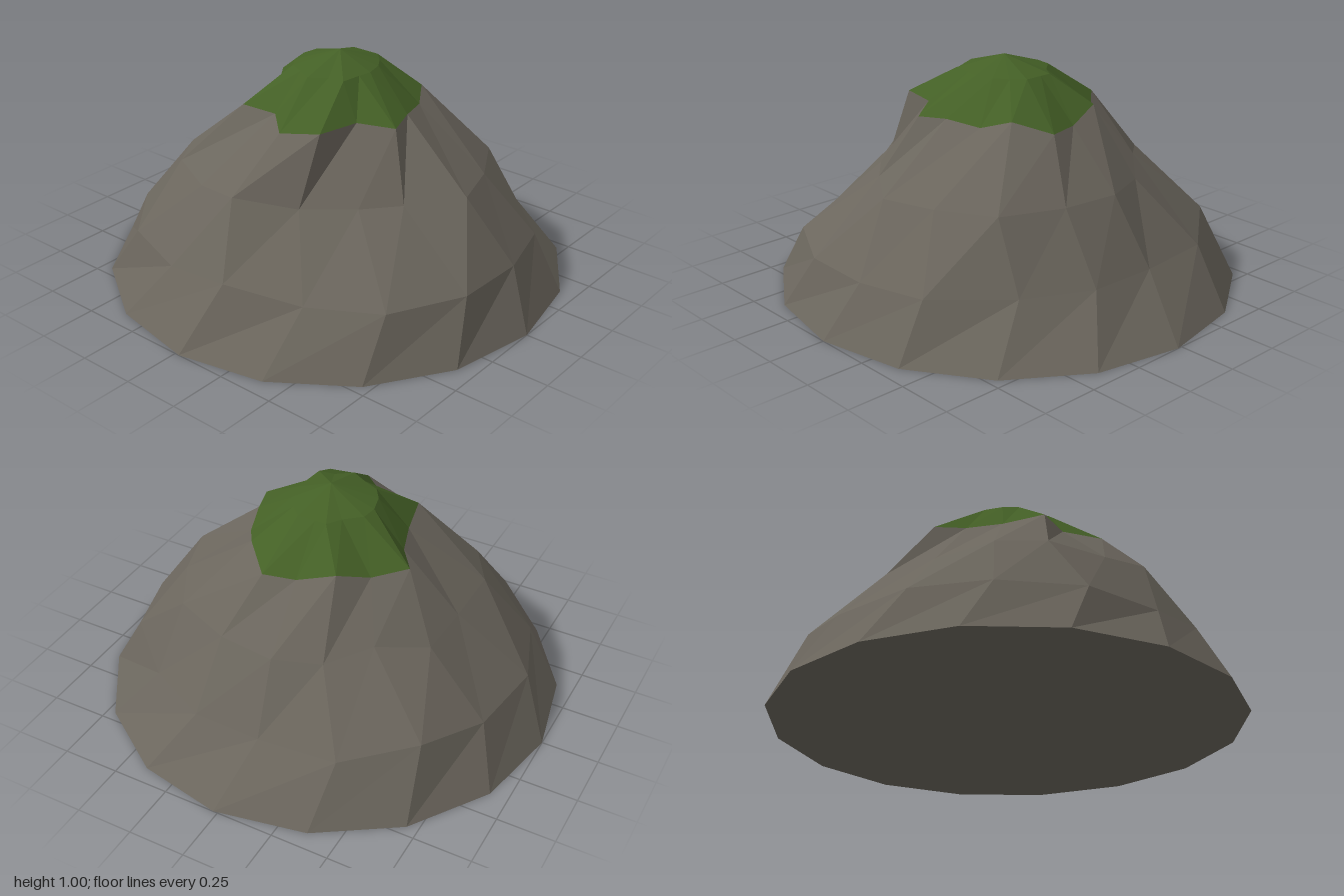
import * as THREE from 'three';

const SIDES = 16;

// Cross-sections from the foot upward: x,z pairs, running from +x towards +z.
const foot = [];
for (let k = 0; k < SIDES; k++) {
  const a = (k / SIDES) * Math.PI * 2;
  foot.push(Math.cos(a), Math.sin(a) + 0.02 * (1 - Math.abs(Math.sin(a))));
}
const lower = [0.77, -0.06, 0.76, 0.24, 0.62, 0.52, 0.37, 0.79, 0.08, 0.87, -0.24, 0.86, -0.55, 0.7, -0.71, 0.42,
  -0.83, 0.11, -0.81, -0.2, -0.69, -0.53, -0.42, -0.76, -0.11, -0.87, 0.25, -0.82, 0.53, -0.67, 0.74, -0.4];
const middle = [0.6, -0.03, 0.57, 0.22, 0.46, 0.48, 0.23, 0.61, 0, 0.68, -0.22, 0.53, -0.36, 0.41, -0.51, 0.23,
  -0.66, 0.01, -0.6, -0.22, -0.48, -0.46, -0.3, -0.57, -0.02, -0.57, 0.23, -0.56, 0.38, -0.38, 0.53, -0.23];
const capEdge = [0.37, -0.02, 0.4, 0.12, 0.28, 0.24, 0.17, 0.31, 0.02, 0.36, -0.11, 0.4, -0.2, 0.27, -0.38, 0.23,
  -0.44, 0.07, -0.32, -0.06, -0.33, -0.23, -0.15, -0.27, 0, -0.32, 0.11, -0.4, 0.22, -0.28, 0.33, -0.18];
const crown = [0.19, -0.01, 0.19, 0.07, 0.14, 0.12, 0.08, 0.16, 0, 0.18, -0.06, 0.17, -0.15, 0.16, -0.16, 0.09,
  -0.21, 0.02, -0.17, -0.05, -0.14, -0.12, -0.08, -0.16, 0, -0.18, 0.07, -0.17, 0.13, -0.1, 0.19, -0.06];
const capHeights = [0.76, 0.76, 0.81, 0.775, 0.79, 0.78, 0.8, 0.8, 0.78, 0.79, 0.79, 0.78, 0.78, 0.78, 0.765, 0.81];

// Turns x,z pairs into a ring of points; height is a number or a rule per corner
function ring(pairs, height) {
  return Array.from({ length: SIDES }, (_, k) =>
    [pairs[2 * k], typeof height === 'number' ? height : height(k), pairs[2 * k + 1]]);
}

function addBand(out, low, high) {
  for (let k = 0; k < SIDES; k++) {
    const n = (k + 1) % SIDES;
    out.push(...low[k], ...high[k], ...low[n], ...low[n], ...high[k], ...high[n]);
  }
}

function addFan(out, edge, tip, up) {
  for (let k = 0; k < SIDES; k++) {
    const n = (k + 1) % SIDES;
    out.push(...tip, ...(up ? edge[n] : edge[k]), ...(up ? edge[k] : edge[n]));
  }
}

function facetedMesh(name, positions, material) {
  const geometry = new THREE.BufferGeometry();
  geometry.setAttribute('position', new THREE.Float32BufferAttribute(positions, 3));
  geometry.computeVertexNormals();
  const mesh = new THREE.Mesh(geometry, material);
  mesh.name = name;
  return mesh;
}

export function createModel() {
  const rock = new THREE.MeshStandardMaterial({ color: 0x6b665d });
  rock.name = 'rock grey';
  rock.flatShading = true;
  const grass = new THREE.MeshStandardMaterial({ color: 0x446026 });
  grass.name = 'grass green';
  grass.flatShading = true;

  const footRing = ring(foot, 0);
  const lowerRing = ring(lower, (k) => 0.24 + (k === 8 || k === 14 ? 0.04 : 0));
  const middleRing = ring(middle, (k) => 0.52 + (k === 8 || k === 14 ? 0.04 : 0));
  const capRing = ring(capEdge, (k) => capHeights[k]);
  const crownRing = ring(crown, 0.935);

  const group = new THREE.Group();
  group.name = 'hill';

  // Rocky slopes, three bands of facets
  const slopes = [];
  addBand(slopes, footRing, lowerRing);
  addBand(slopes, lowerRing, middleRing);
  addBand(slopes, middleRing, capRing);
  group.add(facetedMesh('rockSlopes', slopes, rock));

  // Flat underside
  const base = [];
  addFan(base, footRing, [0, 0, 0], false);
  group.add(facetedMesh('underside', base, rock));

  // Grassy summit
  const cap = [];
  addBand(cap, capRing, crownRing);
  addFan(cap, crownRing, [0, 1, 0.02], true);
  group.add(facetedMesh('grassCap', cap, grass));

  return group;
}
